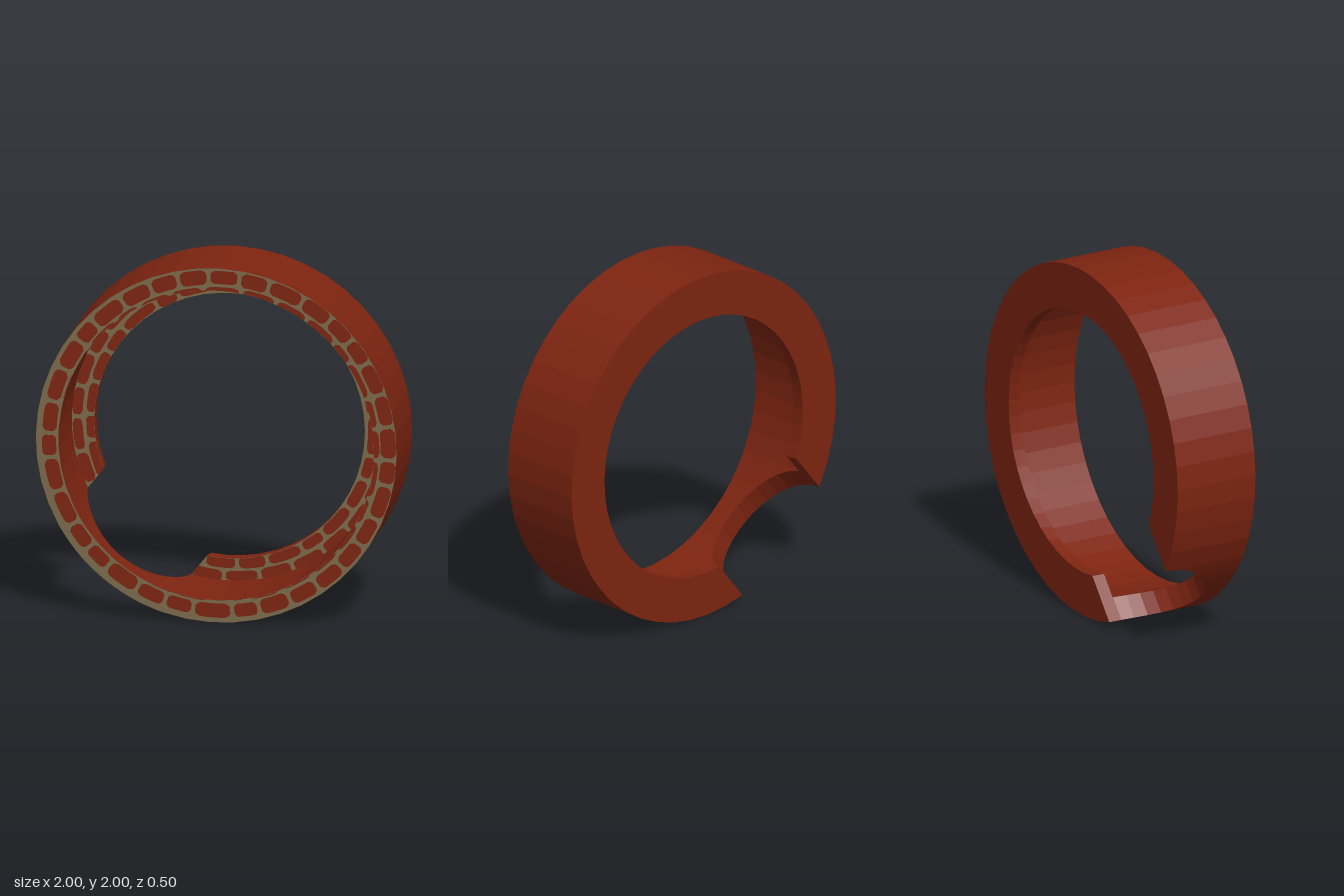
import * as THREE from 'three';

const R_OUT = 1, R_MID = 0.875, R_IN = 0.75; // rim and flange radii
const FRONT = 0.25, BACK = -0.25, STEP = -0.18; // depths; STEP is the flange front
const GAP = THREE.MathUtils.degToRad(231); // direction of the scooped notch
const CUT = 0.375; // notch radius
const CUT_STEP = Math.sqrt(CUT ** 2 - (STEP - BACK) ** 2); // notch half width at STEP
const ARC = 42, SCOOP = 16;

// Point at radius r, angle measured from the notch direction
const polar = (r, a, z) => [r * Math.cos(GAP + a), r * Math.sin(GAP + a), z];

// Quads between successive open cross-sections
function loft(sections, out = []) {
  const v = sections.map((s) => s.map((p) => new THREE.Vector3(...p)));
  const tri = (a, b, c) => {
    const area = b.clone().sub(a).cross(c.clone().sub(a)).length();
    if (area > 1e-8) for (const p of [a, b, c]) out.push(p.x, p.y, p.z);
  };
  for (let i = 0; i + 1 < v.length; i++) {
    for (let k = 0; k + 1 < v[i].length; k++) {
      tri(v[i][k], v[i][k + 1], v[i + 1][k + 1]);
      tri(v[i][k], v[i + 1][k + 1], v[i + 1][k]);
    }
  }
  return out;
}

function meshOf(name, positions, material) {
  const g = new THREE.BufferGeometry();
  g.setAttribute('position', new THREE.Float32BufferAttribute(positions, 3));
  g.computeVertexNormals();
  const mesh = new THREE.Mesh(g, material);
  mesh.name = name;
  return mesh;
}

// Angle along the uncut part of the ring, t from 0 to 1
function arcAngle(r, t, half = CUT) {
  const e = Math.asin(half / r);
  return e + t * (2 * Math.PI - 2 * e);
}

// Angles and back depth for each cross-section of the full rim
function rimSection(i) {
  if (i <= ARC) return { angle: (r) => arcAngle(r, i / ARC), back: BACK };
  const f = (Math.PI * (i - ARC)) / SCOOP;
  const u = -CUT * Math.cos(f);
  return { angle: (r) => Math.asin(u / r), back: BACK + CUT * Math.sin(f) };
}

function seeded(seed) {
  return () => {
    seed = (seed * 16807) % 2147483647;
    return seed / 2147483647;
  };
}

// One course of uneven bricks: list of [start, end, inner radius, outer radius]
function layCourse(count, rIn, rOut, seed) {
  const rnd = seeded(seed);
  const joints = [];
  for (let i = 0; i < count; i++) joints.push(((i + 0.3 * (rnd() - 0.5)) / count) * 2 * Math.PI);
  joints.push(joints[0] + 2 * Math.PI);
  const joint = 0.012 / rOut;
  return joints.slice(0, -1).map((a, i) => [
    a + joint, joints[i + 1] - joint,
    rIn + 0.008 * (rnd() - 0.5), rOut + 0.008 * (rnd() - 0.5),
  ]);
}

// Thin brick faces, trimmed to the band between lo and hi and to the notch
function brickFaces(course, lo, hi, z, notched) {
  const out = [];
  const place = (a, r) => {
    const x = 0.015 + r * Math.cos(a + GAP), y = 0.01 + r * Math.sin(a + GAP);
    const rr = THREE.MathUtils.clamp(Math.hypot(x, y), lo, hi);
    let rel = THREE.MathUtils.euclideanModulo(Math.atan2(y, x) - GAP, 2 * Math.PI);
    if (notched) {
      const e = Math.asin(CUT_STEP / rr);
      rel = THREE.MathUtils.clamp(rel, e, 2 * Math.PI - e);
    }
    return polar(rr, rel, z);
  };
  const ends = [[0, 0.5], [0.06, 0.8], [0.16, 1], [0.38, 1], [0.62, 1], [0.84, 1], [0.94, 0.8], [1, 0.5]];
  for (const [a0, a1, r0, r1] of course) {
    if (notched && (a0 < 0.1 || a1 > 2 * Math.PI - 0.1)) continue;
    const mid = (r0 + r1) / 2, half = (r1 - r0) / 2;
    loft(ends.map(([t, w]) => {
      const a = a0 + t * (a1 - a0);
      return [place(a, mid - half * w), place(a, mid + half * w)];
    }), out);
  }
  return out;
}

export function createModel() {
  const brick = new THREE.MeshStandardMaterial({ color: 0x7d2410 });
  brick.name = 'brick red';
  const mortar = new THREE.MeshStandardMaterial({ color: 0x7c6a4b });
  mortar.name = 'mortar';

  const ring = new THREE.Group();
  ring.name = 'brickRing';

  // Deep outer rim, scooped out from the back at the notch
  const rim = [], rimFace = [];
  for (let i = 0; i <= ARC + SCOOP; i++) {
    const { angle, back } = rimSection(i);
    const o = angle(R_OUT), m = angle(R_MID);
    rim.push([polar(R_OUT, o, FRONT), polar(R_OUT, o, back), polar(R_MID, m, back), polar(R_MID, m, FRONT)]);
    rimFace.push([polar(R_MID, m, FRONT), polar(R_OUT, o, FRONT)]);
  }
  ring.add(meshOf('rim', loft(rim), brick));
  ring.add(meshOf('rimMortar', loft(rimFace), mortar));

  // Thin inner flange at the back, open at the notch
  const flange = [], flangeFace = [];
  for (let i = 0; i <= ARC; i++) {
    const at = (r, z) => polar(r, arcAngle(r, i / ARC, z === BACK ? CUT : CUT_STEP), z);
    flange.push([at(R_MID, BACK), at(R_IN, BACK), at(R_IN, STEP)]);
    flangeFace.push([at(R_IN, STEP), at(R_MID, STEP)]);
  }
  const body = loft(flange);
  for (const i of [0, ARC]) {
    const [ob, ib, inf] = flange[i];
    const cap = [[ob, flangeFace[i][1]], [ib, inf]];
    loft(i === 0 ? cap : cap.reverse(), body);
  }
  ring.add(meshOf('flange', body, brick));
  ring.add(meshOf('flangeMortar', loft(flangeFace), mortar));

  // Three courses of brick faces; the middle one straddles rim and flange
  const outer = layCourse(34, 0.9, 0.98, 11);
  const middle = layCourse(29, 0.827, 0.888, 57);
  const inner = layCourse(27, 0.752, 0.812, 91);
  const zRim = FRONT + 0.002, zFlange = STEP + 0.002;
  ring.add(meshOf('outerBricks', brickFaces(outer, R_MID, 0.997, zRim, false), brick));
  ring.add(meshOf('middleBricksRim', brickFaces(middle, R_MID, 0.997, zRim, false), brick));
  ring.add(meshOf('middleBricksFlange', brickFaces(middle, R_IN, R_MID, zFlange, true), brick));
  ring.add(meshOf('innerBricks', brickFaces(inner, R_IN, R_MID, zFlange, true), brick));

  ring.position.y = 1;
  const model = new THREE.Group();
  model.name = 'notchedRing';
  model.add(ring);
  return model;
}
